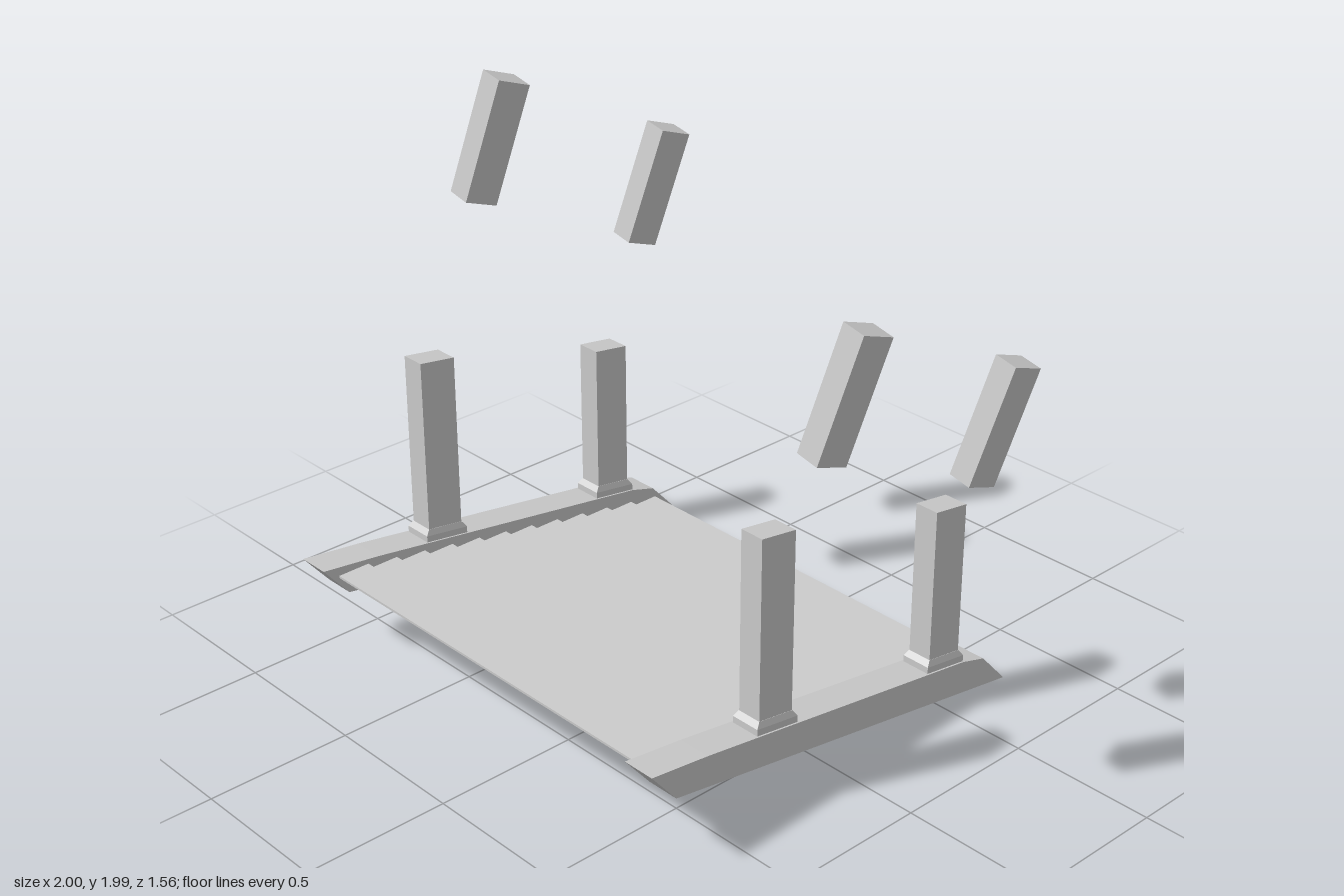
import * as THREE from 'three';

const SLOPE = 0.15;                                  // pitch of the deck rails
const deckTop = z => 0.232 + SLOPE * z;              // upper surface of a rail
const material = new THREE.MeshStandardMaterial({ color: 0xcccccc, flatShading: true });

function addMesh(parent, name, geometry) {
  const mesh = new THREE.Mesh(geometry, material);
  mesh.name = name;
  parent.add(mesh);
  return mesh;
}

// Upright block with its ends sheared to the pitch; the top may be narrower than the base
function slopedBlock(w, d, y0, y1, topW = w, topD = d) {
  const geo = new THREE.BoxGeometry(1, 1, 1);
  const p = geo.attributes.position;
  for (let i = 0; i < p.count; i++) {
    const top = p.getY(i) > 0;
    const z = p.getZ(i) * (top ? topD : d);
    p.setXYZ(i, p.getX(i) * (top ? topW : w), (top ? y1 : y0) + SLOPE * z, z);
  }
  geo.computeVertexNormals();
  return geo;
}

export function createModel() {
  const model = new THREE.Group();
  model.name = 'slattedPlatform';

  // Side rail outline as (z, y)
  const outline = [[0.78, 0.345], [0.56, 0.318], [-0.57, 0.149], [-0.67, 0.12],
    [-0.78, 0], [0.56, 0.21], [0.685, 0.23]];
  const railShape = new THREE.Shape(outline.map(([z, y]) => new THREE.Vector2(-z, y)));
  const railWidth = 0.115;

  for (const [side, x] of [['right', -0.9425], ['left', 0.6425]]) {
    const rail = new THREE.ExtrudeGeometry(railShape, { depth: railWidth, bevelEnabled: false });
    rail.translate(0, 0, -railWidth / 2).rotateY(Math.PI / 2);
    addMesh(model, side + 'Rail', rail).position.x = x;

    // Posts, each standing in a bevelled collar
    for (const [end, z, top] of [['Front', 0.268, 0.935], ['Rear', -0.49, 0.735]]) {
      const group = new THREE.Group();
      group.name = side + end + 'Post';
      group.position.set(x, 0, z);
      const y = deckTop(z);
      addMesh(group, 'collar', slopedBlock(0.103, 0.17, y - 0.02, y + 0.025));
      addMesh(group, 'collarBevel', slopedBlock(0.103, 0.17, y + 0.025, y + 0.045, 0.087, 0.139));
      addMesh(group, 'shaft', slopedBlock(0.085, 0.137, y + 0.02, top));
      model.add(group);
    }
  }

  // Level slats, stepping up towards the front with open risers
  const slats = new THREE.Group();
  slats.name = 'slats';
  const count = 12;
  for (let i = 0; i < count; i++) {
    const slat = addMesh(slats, 'slat', new THREE.BoxGeometry(1.49, 0.008, 0.118));
    slat.position.set(-0.15, 0.079 + i * 0.0203, -0.621 + i * 0.1166);
  }
  model.add(slats);

  // Four loose struts, all leaning the same way
  const lean = new THREE.Matrix4().makeBasis(
    new THREE.Vector3(0.08, -0.014, 0.004),
    new THREE.Vector3(0.081, 0.396, -0.082),
    new THREE.Vector3(0.007, 0.046, 0.125));
  const struts = [['rightRear', -0.687, 1.415, -0.492], ['rightFront', -0.645, 1.763, 0.215],
    ['leftRear', 0.867, 1.117, -0.447], ['leftFront', 0.915, 1.458, 0.26]];
  for (const [name, x, y, z] of struts) {
    const geo = new THREE.BoxGeometry(1, 1, 1).applyMatrix4(lean);
    geo.computeVertexNormals();
    addMesh(model, name + 'Strut', geo).position.set(x, y, z);
  }

  return model;
}
